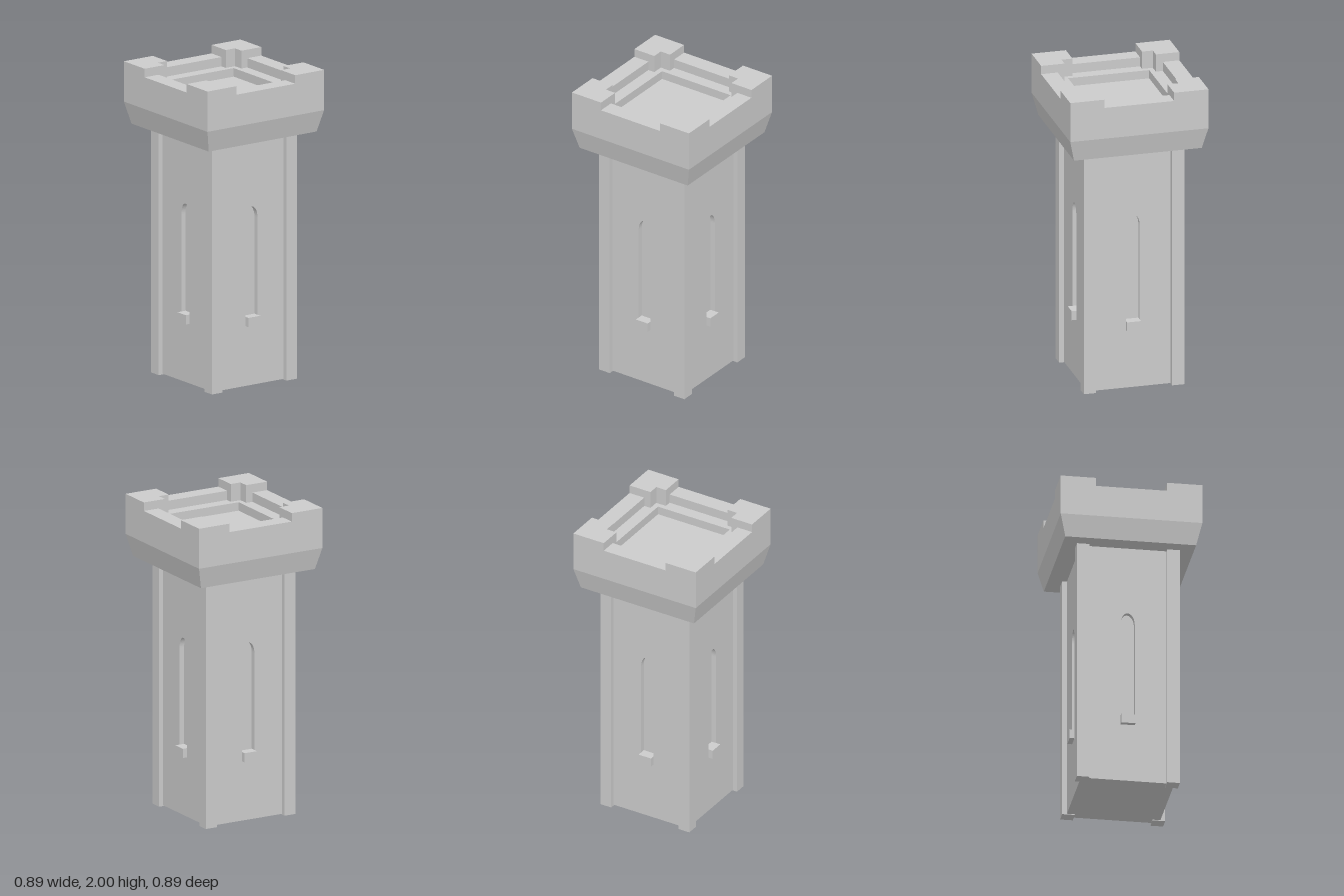
import * as THREE from 'three';

const SIDES = [0, 1, 2, 3].map((i) => i * Math.PI / 2);

export function createModel() {
  const tower = new THREE.Group();
  tower.name = 'tower';
  const material = new THREE.MeshStandardMaterial({ color: 0xcccccc, flatShading: true });

  const add = (name, geometry, angle = 0) => {
    const mesh = new THREE.Mesh(geometry, material);
    mesh.name = name;
    mesh.rotation.y = angle;
    tower.add(mesh);
  };
  const box = (w, h, d, x, y, z) => new THREE.BoxGeometry(w, h, d).translate(x, y, z);

  // Inner shaft, whose faces are the backs of the window niches
  const base = 0.005, shaftTop = 1.6;
  const niche = 0.262, wall = 0.295;
  add('shaftCore', box(2 * niche, shaftTop - base, 2 * niche, 0, (shaftTop + base) / 2, 0));

  // Wall panel with an arched slit
  const panel = new THREE.Shape([
    new THREE.Vector2(-0.25, base), new THREE.Vector2(0.25, base),
    new THREE.Vector2(0.25, shaftTop), new THREE.Vector2(-0.25, shaftTop),
  ]);
  const slit = new THREE.Path();
  slit.moveTo(-0.045, 0.45);
  slit.lineTo(0.045, 0.45);
  slit.lineTo(0.045, 1.08);
  slit.absellipse(0, 1.08, 0.045, 0.075, 0, Math.PI);
  slit.closePath();
  panel.holes.push(slit);
  const panelGeometry = new THREE.ExtrudeGeometry(panel, {
    depth: wall - niche, bevelEnabled: false, curveSegments: 12,
  }).translate(0, 0, niche);

  const sill = box(0.09, 0.06, 0.06, 0, 0.42, 0.295);
  const pilaster = box(0.08, shaftTop, 0.08, 0.285, shaftTop / 2, 0.285);

  // Square head: flared underside, parapet, inner ledge and sunken floor
  const profile = [
    [0, 1.6], [0.413, 1.6], [0.447, 1.74], [0.447, 1.945], [0.34, 1.945],
    [0.34, 1.885], [0.262, 1.885], [0.262, 1.83], [0, 1.83],
  ].map(([r, y]) => new THREE.Vector2(r * Math.SQRT2, y));
  const head = new THREE.LatheGeometry(profile, 4, Math.PI / 4).toNonIndexed();
  head.computeVertexNormals();
  add('head', head);

  // Notched corner block, reaching from the inner corner out to a given edge
  const cornerBlock = (edge, y0, y1) => {
    const outline = [
      [edge, 0.225], [edge, edge], [0.225, edge],
      [0.225, 0.295], [0.295, 0.295], [0.295, 0.225],
    ].map(([x, y]) => new THREE.Vector2(x, y));
    return new THREE.ExtrudeGeometry(new THREE.Shape(outline), {
      depth: y1 - y0, bevelEnabled: false,
    }).rotateX(-Math.PI / 2).translate(0, y0, 0);
  };
  const merlon = cornerBlock(0.447, 1.945, 2);
  const merlonFoot = cornerBlock(0.34, 1.885, 1.945);

  // Same parts on all four sides and corners
  for (const angle of SIDES) {
    add('wallPanel', panelGeometry, angle);
    add('windowSill', sill, angle);
    add('cornerPilaster', pilaster, angle);
    add('merlon', merlon, angle);
    add('merlonFoot', merlonFoot, angle);
  }
  return tower;
}
